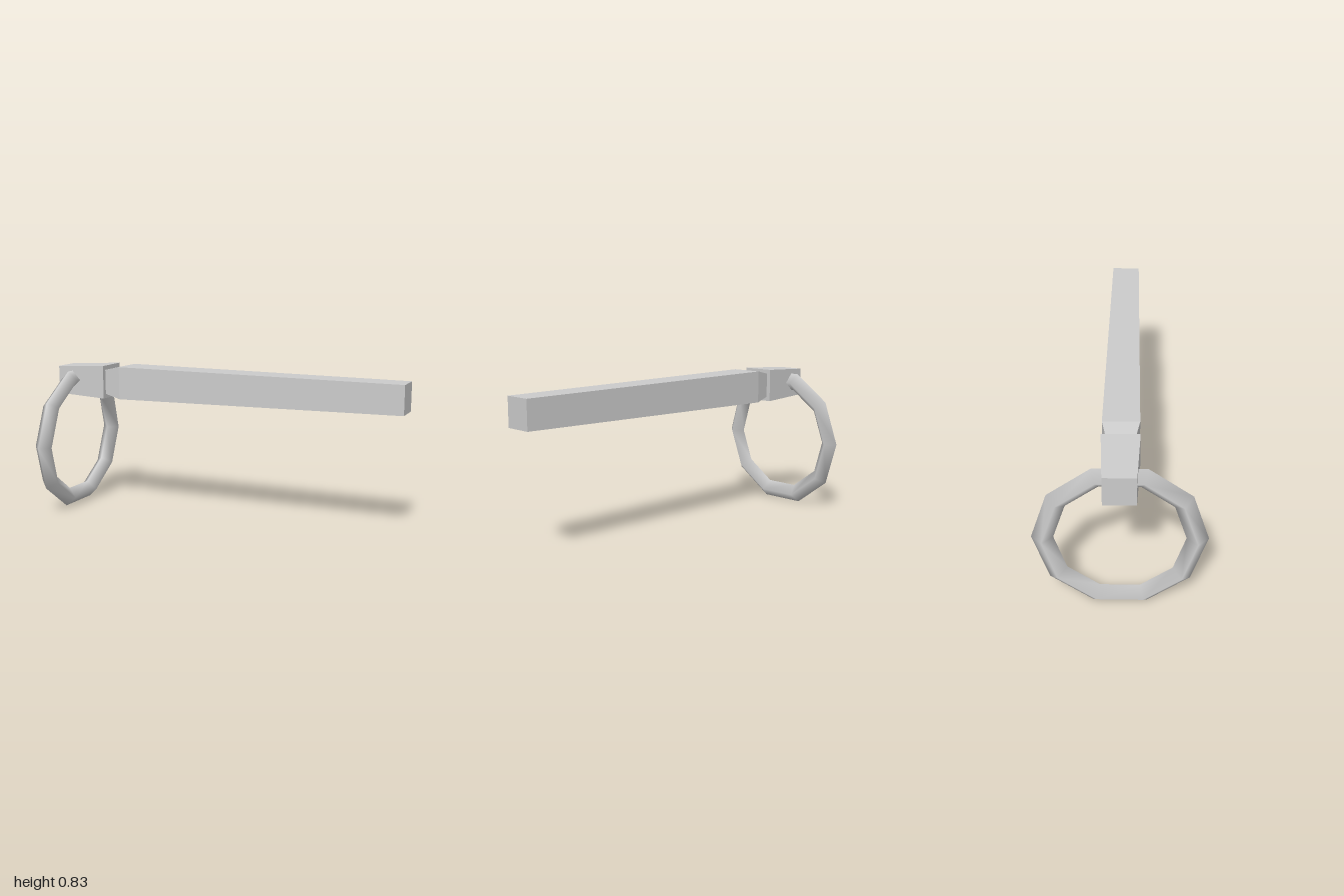
import * as THREE from 'three';

const AXIS_Y = 0.735;

// Square bar along x, lofted through [x, half width] stations
function squareBar(name, stations) {
  const points = stations.map(([x, half]) => new THREE.Vector2(half * Math.SQRT2, x));
  points.unshift(new THREE.Vector2(0, stations[0][0]));
  points.push(new THREE.Vector2(0, stations[stations.length - 1][0]));
  const geometry = new THREE.LatheGeometry(points, 4);
  geometry.rotateY(Math.PI / 4).rotateZ(-Math.PI / 2);
  const flat = geometry.toNonIndexed();
  flat.computeVertexNormals();
  const mesh = new THREE.Mesh(
    flat,
    new THREE.MeshStandardMaterial({ color: 0xcccccc, flatShading: true })
  );
  mesh.name = name;
  mesh.position.y = AXIS_Y;
  return mesh;
}

export function createModel() {
  const model = new THREE.Group();
  model.name = 'ringHandledBar';

  // Flared head block that holds the ring
  model.add(squareBar('head', [[-1, 0.078], [-0.7, 0.092]]));

  // Shaft: narrow neck, chamfered shoulder, long gentle taper
  model.add(squareBar('shaft', [[-0.7, 0.068], [-0.6, 0.09], [1, 0.077]]));

  // Ten-sided ring of diamond section, hanging slightly tilted through the head
  const ringGeometry = new THREE.TorusGeometry(0.363, 0.052, 4, 10);
  ringGeometry.rotateY(Math.PI / 2);
  const ring = new THREE.Mesh(
    ringGeometry,
    new THREE.MeshStandardMaterial({ color: 0xcccccc })
  );
  ring.name = 'ring';
  ring.position.set(-0.928, 0.396, 0);
  ring.rotation.z = -0.055;
  model.add(ring);

  return model;
}
